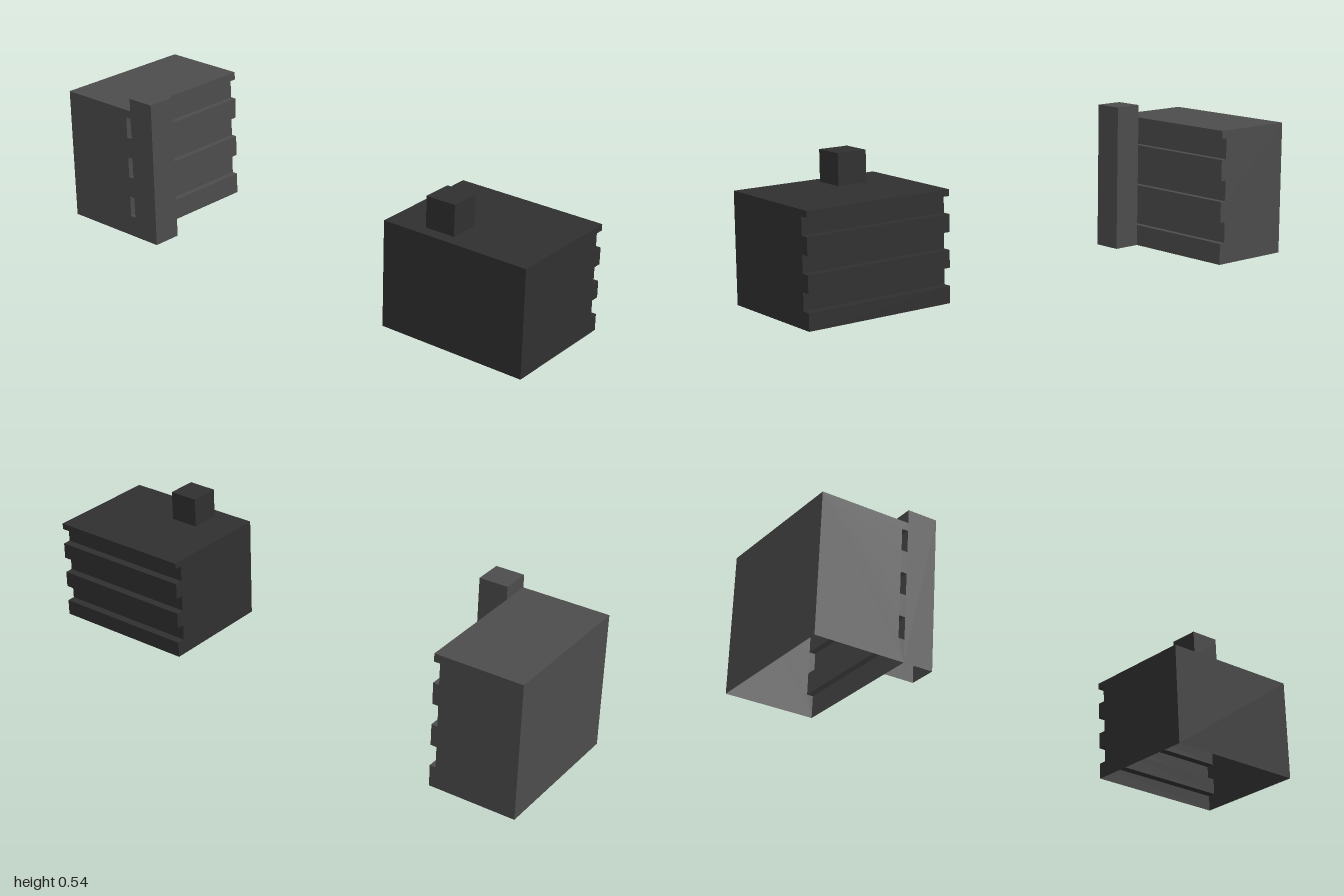
import * as THREE from 'three';

const leftMaterial = new THREE.MeshStandardMaterial({ color: 0x4c4c4c, side: THREE.DoubleSide, flatShading: true });
const rightMaterial = new THREE.MeshStandardMaterial({ color: 0x303030, side: THREE.DoubleSide, flatShading: true });

// Drop the triangles lying on the lowest level, leaving a hollow shell.
function openBottom(source) {
  const geometry = source.index ? source.toNonIndexed() : source;
  geometry.computeBoundingBox();
  const low = geometry.boundingBox.min.y + 1e-4;
  const p = geometry.attributes.position;
  const kept = [];
  for (let i = 0; i < p.count; i += 3) {
    if (Math.max(p.getY(i), p.getY(i + 1), p.getY(i + 2)) < low) continue;
    for (let k = i; k < i + 3; k++) kept.push(p.getX(k), p.getY(k), p.getZ(k));
  }
  const shell = new THREE.BufferGeometry();
  shell.setAttribute('position', new THREE.Float32BufferAttribute(kept, 3));
  shell.computeVertexNormals();
  return shell;
}

// Building shell: a section with grooves cut in its +u wall, extruded along w.
function groovedShell([u0, u1], [y0, y1], [w0, w1], grooves, depth) {
  const outline = [[u0, y0], [u1, y0]];
  for (const [bottom, top] of grooves) {
    outline.push([u1, bottom], [u1 - depth, bottom], [u1 - depth, top], [u1, top]);
  }
  outline.push([u1, y1], [u0, y1]);
  const shape = new THREE.Shape(outline.map(([u, y]) => new THREE.Vector2(u, y)));
  const geometry = new THREE.ExtrudeGeometry(shape, { depth: w1 - w0, bevelEnabled: false });
  geometry.translate(0, 0, w0);
  return openBottom(geometry);
}

// Box given by its ranges, open underneath.
function openBox([x0, x1], [y0, y1], [z0, z1]) {
  const geometry = new THREE.BoxGeometry(x1 - x0, y1 - y0, z1 - z0);
  geometry.translate((x0 + x1) / 2, (y0 + y1) / 2, (z0 + z1) / 2);
  return openBottom(geometry);
}

function part(name, geometry, material) {
  const mesh = new THREE.Mesh(geometry, material);
  mesh.name = name;
  return mesh;
}

export function createModel() {
  const model = new THREE.Group();
  model.name = 'buildings';

  // Taller building: grooves face the gap, corner tower at the front
  const tall = new THREE.Group();
  tall.name = 'tallBuilding';
  tall.add(
    part('tallBuildingBody', groovedShell([-1, -0.683], [0, 0.49], [-0.269, 0.269],
      [[0.078, 0.155], [0.232, 0.308], [0.385, 0.461]], 0.022), leftMaterial),
    part('cornerTower', openBox([-0.683, -0.577], [0, 0.537], [0.163, 0.269]), leftMaterial)
  );

  // Wider building: grooves face the back, chimney on the roof
  const wide = new THREE.Group();
  wide.name = 'wideBuilding';
  const body = groovedShell([-0.263, 0.159], [0.027, 0.403], [0.46, 1],
    [[0.085, 0.145], [0.204, 0.263], [0.322, 0.381]], 0.029);
  body.rotateY(Math.PI / 2);
  wide.add(
    part('wideBuildingBody', body, rightMaterial),
    part('chimney', openBox([0.593, 0.702], [0.403, 0.511], [0.112, 0.22]), rightMaterial)
  );

  model.add(tall, wide);
  return model;
}
